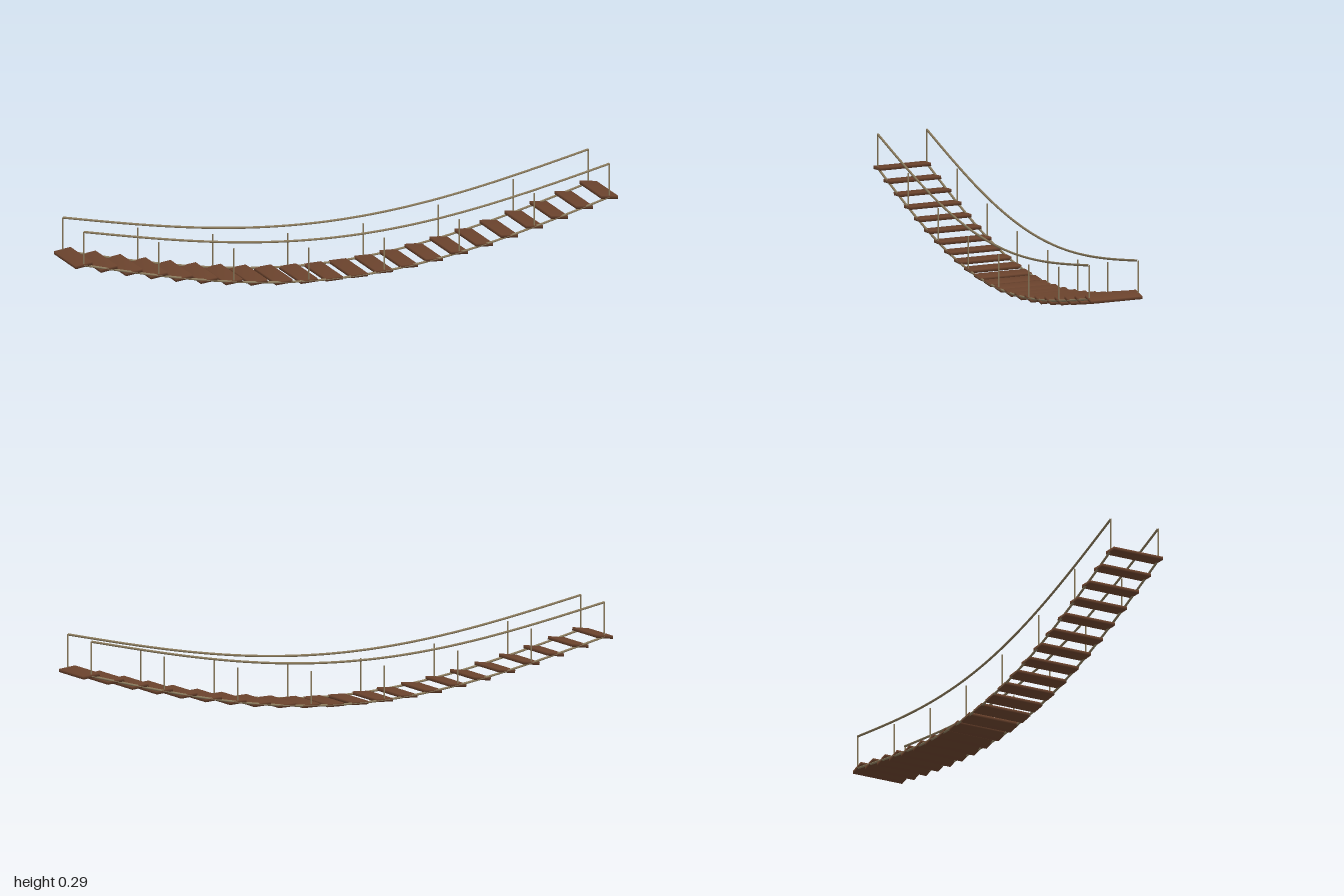
import * as THREE from 'three';
import { mergeVertices } from 'three/addons/utils/BufferGeometryUtils.js';

const HALF = 0.969, SIDE = 0.089, PLANKS = 22, POST_HEIGHT = 0.118;

// Hanging curve: lowest in the middle, rising towards both ends
const sag = (x, low, rise) => low + rise * (1 - Math.cos((Math.PI / 2) * (x / HALF)));
const deckY = (x) => sag(x, 0.006, 0.163);
const railY = (x) => sag(x, 0.152, 0.135);

export function createModel() {
  const bridge = new THREE.Group();
  bridge.name = 'ropeBridge';
  const wood = new THREE.MeshStandardMaterial({ color: 0x6b432d });
  wood.name = 'brown wood';
  const rope = new THREE.MeshStandardMaterial({ color: 0x8a7a5c });
  rope.name = 'tan rope';

  const add = (name, geometry, material, x = 0, y = 0, z = 0) => {
    const mesh = new THREE.Mesh(geometry, material);
    mesh.name = name;
    mesh.position.set(x, y, z);
    bridge.add(mesh);
    return mesh;
  };

  // Planks, worn soft at the edges: shared corners give smooth normals
  let plankGeometry = new THREE.BoxGeometry(0.062, 0.011, 0.185);
  plankGeometry.deleteAttribute('normal');
  plankGeometry.deleteAttribute('uv');
  plankGeometry = mergeVertices(plankGeometry);
  plankGeometry.computeVertexNormals();

  const step = (2 * HALF) / (PLANKS - 1);
  for (let i = 0; i < PLANKS; i++) {
    const x = -HALF + i * step;
    const plank = add('plank', plankGeometry, wood, x, deckY(x), 0);
    plank.rotation.z = -0.13 * Math.sin((Math.PI / 2) * (x / HALF));
  }

  // Ropes sweep along the hanging curve
  const ropeGeometry = (heightAt) => {
    const points = [];
    for (let i = 0; i <= 20; i++) {
      const x = -HALF + (i / 20) * 2 * HALF;
      points.push(new THREE.Vector3(x, heightAt(x), 0));
    }
    return new THREE.TubeGeometry(new THREE.CatmullRomCurve3(points), 60, 0.004, 8);
  };
  const deckRope = ropeGeometry(deckY);
  const handRope = ropeGeometry(railY);
  const postGeometry = new THREE.CylinderGeometry(0.0027, 0.0027, POST_HEIGHT, 8);

  for (const z of [-SIDE, SIDE]) {
    add('deckRope', deckRope, rope, 0, 0, z);
    add('handRope', handRope, rope, 0, 0, z);
    // An upright on every third plank
    for (let i = 0; i < PLANKS; i += 3) {
      const x = -HALF + i * step;
      add('upright', postGeometry, rope, x, deckY(x) + POST_HEIGHT / 2, z);
    }
  }
  return bridge;
}
